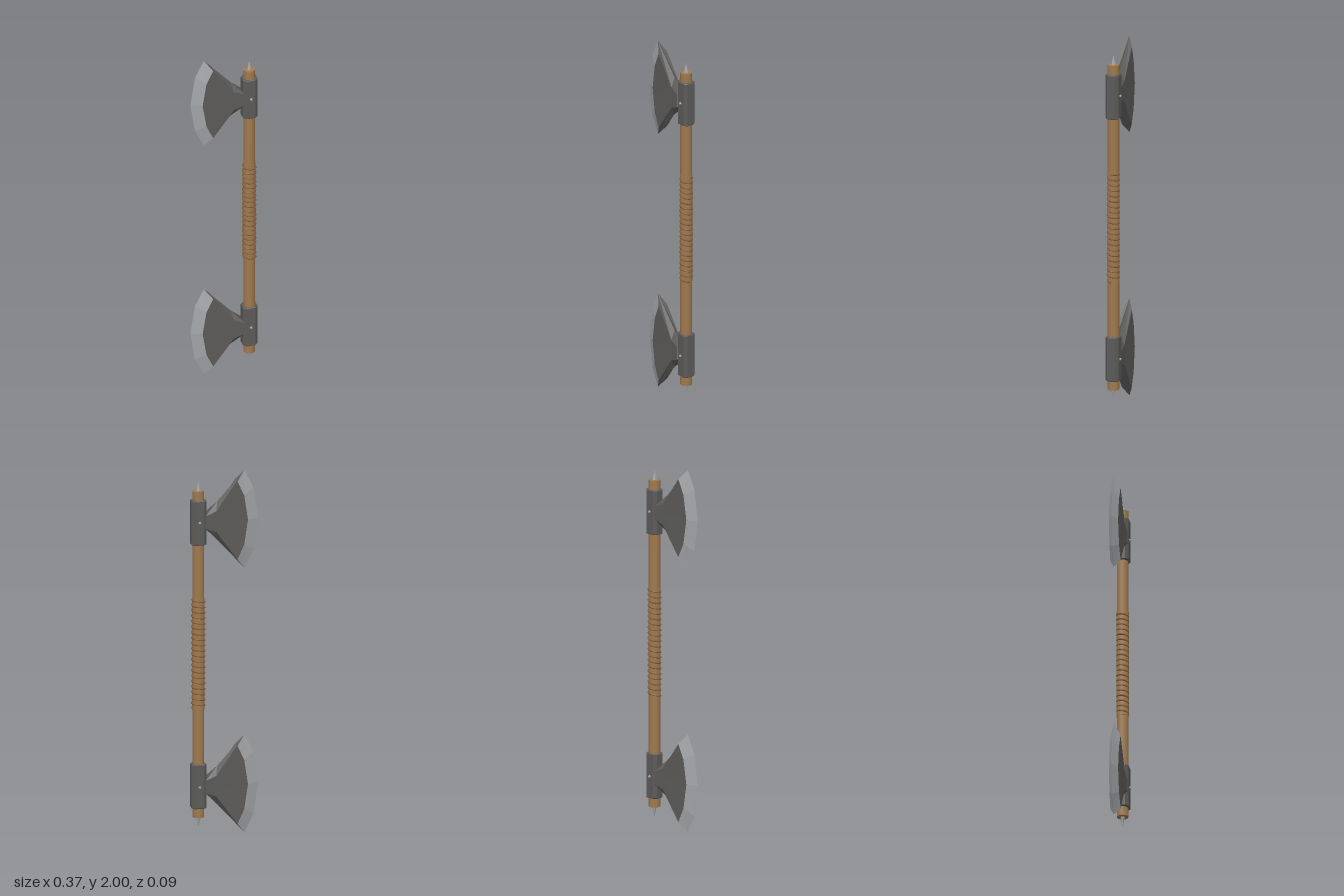
import * as THREE from 'three';

const mat = (color, flat = true) => new THREE.MeshStandardMaterial({ color, flatShading: flat });
const iron = mat(0x5c5b5a);
const steel = mat(0xa3a5a8);
const wood = mat(0xa07a4e, false);
const leather = mat(0x8a6142, false);
const AXIS = 0.143; // x of the shaft

function part(name, geometry, material, x = 0, y = 0, z = 0) {
  const mesh = new THREE.Mesh(geometry, material);
  mesh.name = name;
  mesh.position.set(x, y, z);
  return mesh;
}

// Mirrors polygons of one quarter of the blade over y and z
function mirrored(polygons) {
  const pos = [];
  for (const sy of [1, -1]) for (const sz of [1, -1]) {
    for (const poly of polygons) {
      for (let i = 1; i < poly.length - 1; i++) {
        const tri = [poly[0], poly[i], poly[i + 1]];
        if (sy * sz < 0) tri.reverse();
        for (const [x, y, z] of tri) pos.push(x, y * sy, z * sz);
      }
    }
  }
  const g = new THREE.BufferGeometry();
  g.setAttribute('position', new THREE.Float32BufferAttribute(pos, 3));
  g.computeVertexNormals();
  return g;
}

function createBlade() {
  const edge = [[-0.11, 0.27, 0], [-0.16, 0.17, 0], [-0.185, 0, 0]];
  const face = [[-0.066, 0.215, 0.028], [-0.103, 0.135, 0.026], [-0.124, 0, 0.025]];
  const neck = [0.05, 0.058, 0.029], neckMid = [0.05, 0, 0.029];
  const root = [0.11, 0.034, 0.033], rootMid = [0.11, 0, 0.033];
  const ridge = [0.04, 0.106, 0], ridgeRoot = [0.11, 0.036, 0];
  const blade = new THREE.Group();
  blade.name = 'blade';
  blade.add(
    part('cuttingEdge', mirrored([0, 1].map(i => [edge[i], edge[i + 1], face[i + 1], face[i]])), steel),
    part('bladeBody', mirrored([
      [...face, neckMid, neck],
      [edge[0], face[0], neck, ridge],
      [ridge, neck, root, ridgeRoot],
      [neck, neckMid, rootMid, root],
    ]), iron));
  return blade;
}

// Eight-sided sleeve with softened ends
function createCollar() {
  const w = 0.037, d = 0.033, c = 0.014, bevel = 0.004;
  const shape = new THREE.Shape([
    [w, -d + c], [w, d - c], [w - c, d], [-w + c, d],
    [-w, d - c], [-w, -d + c], [-w + c, -d], [w - c, -d],
  ].map(([x, y]) => new THREE.Vector2(x, y)));
  const length = 0.245;
  const g = new THREE.ExtrudeGeometry(shape, {
    depth: length - 2 * bevel, bevelSize: bevel, bevelThickness: bevel, bevelSegments: 1,
  });
  g.translate(0, 0, -length / 2 + bevel);
  g.rotateX(-Math.PI / 2);
  return g;
}

// One axe head, measured from the middle of the shaft
function createHead(name) {
  const head = new THREE.Group();
  head.name = name;
  const blade = createBlade();
  blade.position.y = 0.73;
  head.add(blade, part('collar', createCollar(), iron, AXIS, 0.727));
  for (const s of [1, -1]) {
    const rivet = new THREE.CylinderGeometry(0.005, 0.008, 0.008, 8).rotateX(s * Math.PI / 2);
    head.add(part('rivet', rivet, steel, AXIS, 0.73, s * 0.041));
  }
  head.add(part('spike', new THREE.ConeGeometry(0.013, 0.056, 6), steel, AXIS, 0.928));
  return head;
}

// Cord wound round the grip, standing out most at the sides
class Winding extends THREE.Curve {
  getPoint(t, target = new THREE.Vector3()) {
    const a = t * 20 * Math.PI * 2;
    return target.set(0.0345 * Math.cos(a), (t - 0.5) * 0.6, 0.0305 * Math.sin(a));
  }
}

export function createModel() {
  const model = new THREE.Group();
  model.name = 'doubleEndedAxe';
  model.add(
    part('shaft', new THREE.CylinderGeometry(0.032, 0.032, 1.8, 12), wood, AXIS, 1),
    part('grip', new THREE.CylinderGeometry(0.0335, 0.0335, 0.615, 12), wood, AXIS, 1),
    part('gripCord', new THREE.TubeGeometry(new Winding(), 320, 0.005, 5), leather, AXIS, 1));

  const top = createHead('topHead');
  const bottom = createHead('bottomHead');
  top.position.y = bottom.position.y = 1;
  bottom.rotation.x = Math.PI;
  model.add(top, bottom);
  return model;
}
